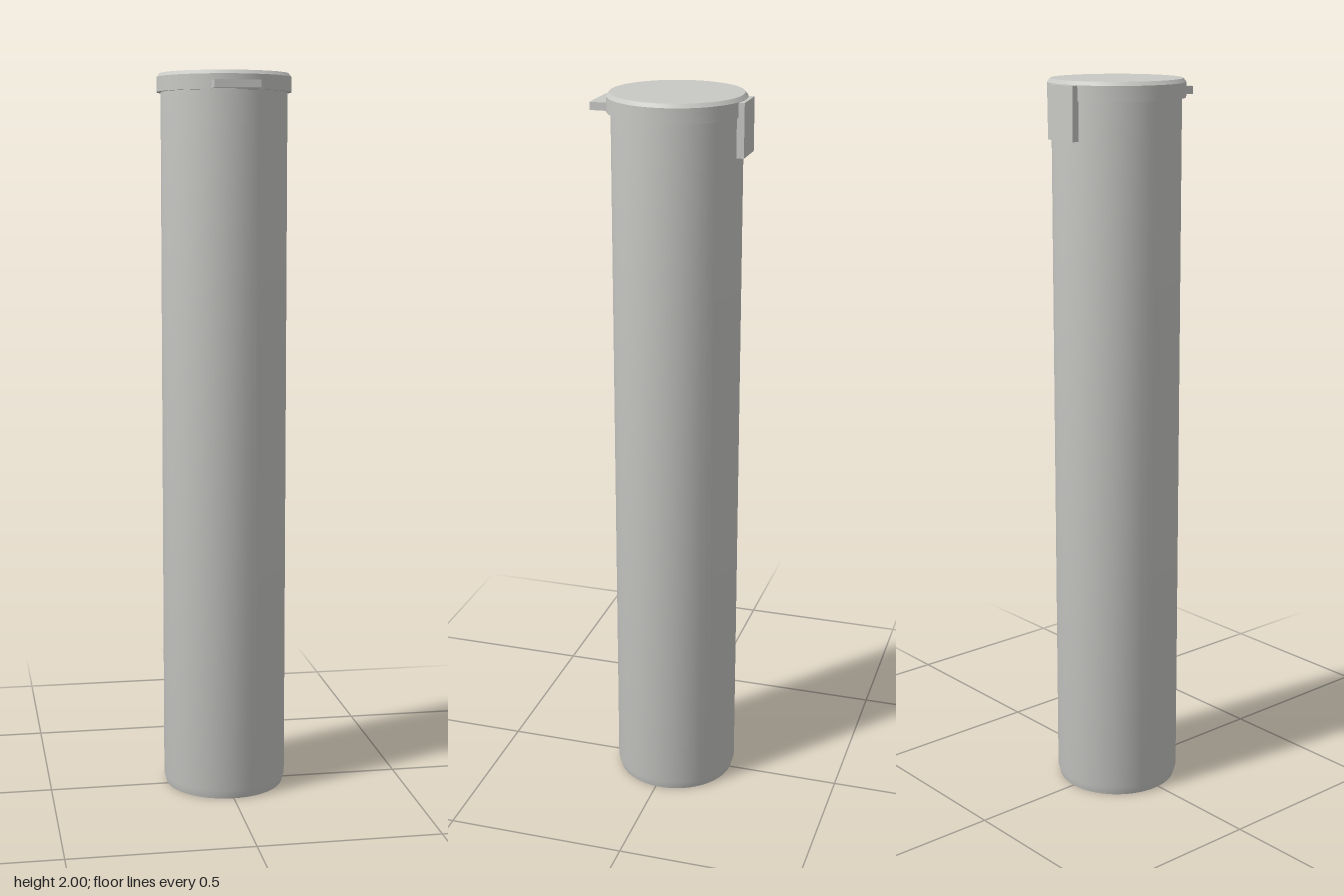
import * as THREE from 'three';
import { toCreasedNormals } from 'three/addons/utils/BufferGeometryUtils.js';

export function createModel() {
  const group = new THREE.Group();
  const grey = new THREE.MeshStandardMaterial({ color: 0xc8c8c5 });
  grey.name = 'light grey';
  const axisZ = -0.014; // the tube sits slightly behind centre, balancing the tab

  const add = (name, geometry, x, y, z) => {
    const mesh = new THREE.Mesh(geometry, grey);
    mesh.name = name;
    mesh.position.set(x, y, z);
    group.add(mesh);
  };
  const turned = (profile) => toCreasedNormals(
    new THREE.LatheGeometry(profile.map(([r, y]) => new THREE.Vector2(r, y)), 64), 0.3);

  // Tube with a chamfered foot
  add('tubeBody', turned([[0, 0], [0.166, 0], [0.173, 0.025], [0.173, 1.96], [0, 1.96]]), 0, 0, axisZ);

  // Cap with a chamfered upper rim
  add('cap', turned([[0, 1.95], [0.184, 1.95], [0.184, 1.99], [0.176, 2], [0, 2]]), 0, 0, axisZ);

  // Thumb tab at the front of the cap
  add('thumbTab', new THREE.BoxGeometry(0.124, 0.021, 0.05), 0, 1.962, 0.18);

  // Hinge plate at the back, reaching down over the tube
  add('hingePlate', new THREE.BoxGeometry(0.102, 0.142, 0.02), 0, 1.918, -0.197);

  return group;
}
